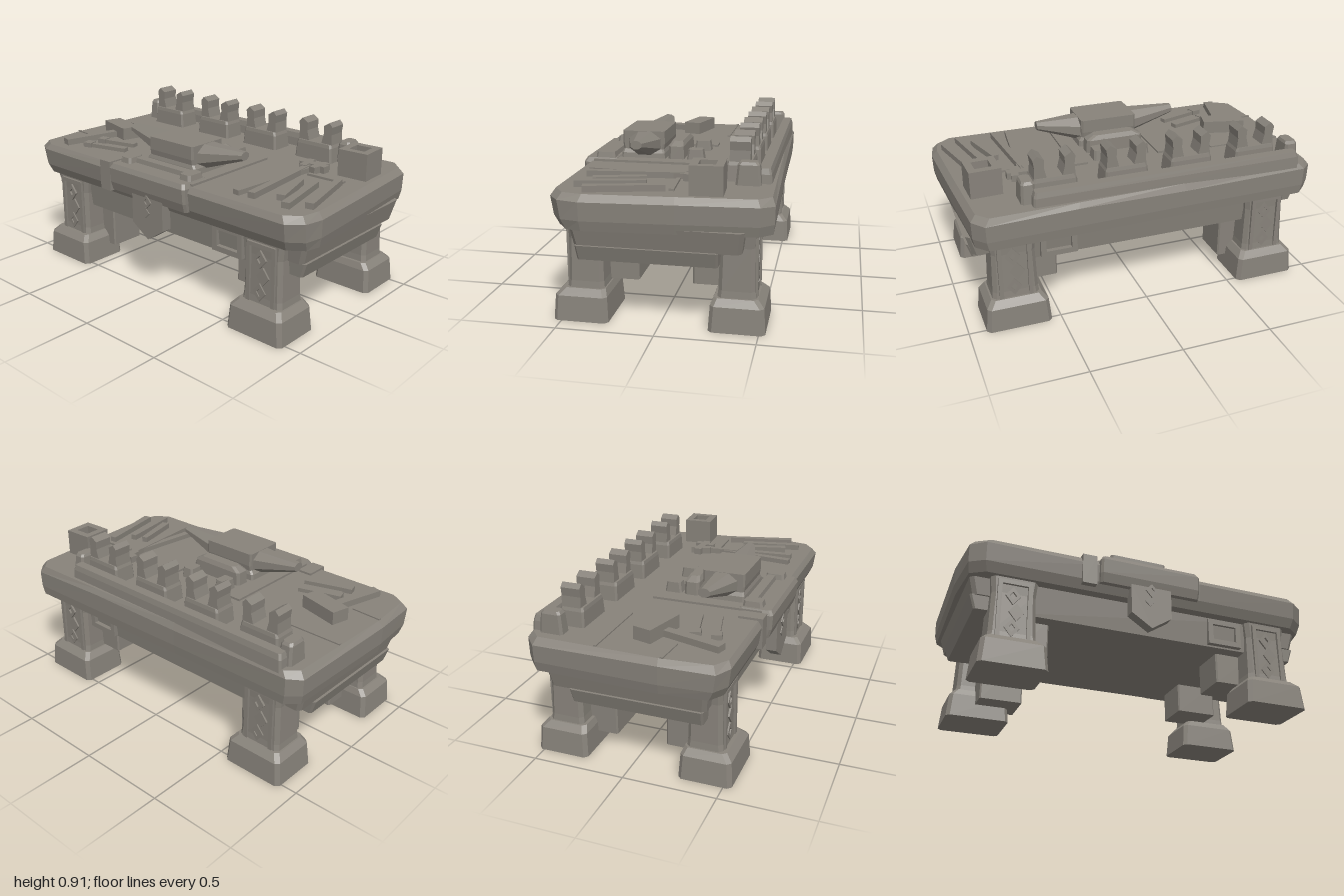
import * as THREE from 'three';

export function createModel() {
  const model = new THREE.Group();
  model.name = 'stoneForgeTable';
  const stone = new THREE.MeshStandardMaterial({ color: 0x87827a });
  stone.name = 'grey stone';

  // Flat-faced mesh from any geometry
  const add = (name, geo, parent = model) => {
    const g = geo.index ? geo.toNonIndexed() : geo;
    g.computeVertexNormals();
    const m = new THREE.Mesh(g, stone);
    m.name = name;
    parent.add(m);
    return m;
  };

  // Closed loft through rings of [x, y, z], listed from bottom to top
  const loft = (rings) => {
    const n = rings[0].length, pos = rings.flat(2), idx = [];
    for (let r = 0; r < rings.length - 1; r++) for (let i = 0; i < n; i++) {
      const a = r * n + i, b = r * n + (i + 1) % n;
      idx.push(a, a + n, b, b, a + n, b + n);
    }
    const centre = (ring) => [0, 1, 2].map((k) => ring.reduce((s, p) => s + p[k], 0) / n);
    const c0 = rings.length * n, top = c0 - n;
    pos.push(...centre(rings[0]), ...centre(rings[rings.length - 1]));
    for (let i = 0; i < n; i++) {
      const j = (i + 1) % n;
      idx.push(c0, i, j, c0 + 1, top + j, top + i);
    }
    const g = new THREE.BufferGeometry();
    g.setAttribute('position', new THREE.Float32BufferAttribute(pos, 3));
    g.setIndex(idx);
    return g;
  };

  // Hewn block: rings of [y, halfX, halfZ, shiftX, shiftZ] with cut corners
  const rock = (name, cx, cz, cut, rows, parent) => add(name, loft(rows.map(([y, a, b, dx = 0, dz = 0]) =>
    [[a, -b + cut], [a, b - cut], [a - cut, b], [-a + cut, b], [-a, b - cut], [-a, -b + cut], [-a + cut, -b], [a - cut, -b]]
      .map(([x, z]) => [cx + dx + x, y, cz + dz + z]))), parent);

  const box = (name, x0, x1, y0, y1, z0, z1, parent) => {
    const m = add(name, new THREE.BoxGeometry(x1 - x0, y1 - y0, z1 - z0), parent);
    m.position.set((x0 + x1) / 2, (y0 + y1) / 2, (z0 + z1) / 2);
    return m;
  };

  // Tapered bar lying on the top from one point to another
  const bar = (name, x0, z0, x1, z1, w, y, h, taper = 1) => {
    const g = new THREE.BoxGeometry(w, h, Math.hypot(x1 - x0, z1 - z0));
    const p = g.attributes.position;
    for (let i = 0; i < p.count; i++) if (p.getZ(i) > 0) p.setX(i, p.getX(i) * taper);
    const m = add(name, g);
    m.position.set((x0 + x1) / 2, y + h / 2, (z0 + z1) / 2);
    m.rotation.y = Math.atan2(x1 - x0, z1 - z0);
    return m;
  };

  const shapeOf = (T, pts) => new T(pts.map(([x, y]) => new THREE.Vector2(x, y)));
  const extrude = (shape, depth) => new THREE.ExtrudeGeometry(shape, { depth, bevelEnabled: false });

  // Square ring with a hole, extruded along z
  const frameGeo = (w, h, rim, depth) => {
    const rect = (T, a, b) => shapeOf(T, [[-a, -b], [a, -b], [a, b], [-a, b]]);
    const s = rect(THREE.Shape, w / 2, h / 2);
    s.holes.push(rect(THREE.Path, w / 2 - rim, h / 2 - rim));
    return extrude(s, depth);
  };
  const diamond = (name, x, y, z, w, h, parent, hollow = true) => {
    const rhomb = (T, k) => shapeOf(T, [[w * k, 0], [0, h * k], [-w * k, 0], [0, -h * k]]);
    const s = rhomb(THREE.Shape, 1);
    if (hollow) s.holes.push(rhomb(THREE.Path, 0.45));
    add(name, extrude(s, 0.012), parent).position.set(x, y, z);
  };

  // Table slab: steep sides, undercut front, worn top edge
  const outline = [[0.94, -0.5], [0.97, -0.1], [1, 0.36], [0.98, 0.47], [0.9, 0.53], [0.3, 0.53], [-0.3, 0.53],
    [-0.9, 0.53], [-0.98, 0.48], [-1, 0.2], [-0.985, -0.47], [-0.92, -0.53], [-0.2, -0.54], [0.4, -0.555], [0.88, -0.565]];
  add('tableTop', loft([[0.508, 0.015, 0.03], [0.56, 0.003, 0.012], [0.655, 0, 0], [0.688, 0.03, 0.005]].map(([y, d, under], r) =>
    outline.map(([x, z], i) => [
      x * (1 - d), r === 2 ? y + 0.01 * Math.sin(i * 3.1) : y, z * (1 - d) - (z > 0.4 ? under : 0)]))));

  // Apron under the slab
  rock('upperApron', 0, 0, 0.02, [[0.415, 0.93, 0.415], [0.53, 0.96, 0.43]]);
  rock('lowerApron', 0, 0, 0.02, [[0.34, 0.74, 0.42], [0.53, 0.74, 0.44]]);
  rock('sideApron', 0, 0.05, 0.01, [[0.34, 0.92, 0.35], [0.418, 0.945, 0.355]]);
  for (const z of [0.4, -0.45]) add('apronFrame', frameGeo(0.2, 0.15, 0.03, 0.05)).position.set(0.48, 0.425, z);

  // Four legs with carved panels and inner braces
  for (const sx of [1, -1]) for (const sz of [1, -1]) {
    const leg = new THREE.Group();
    leg.name = (sz > 0 ? 'front' : 'back') + (sx > 0 ? 'Left' : 'Right') + 'Leg';
    model.add(leg);
    const cx = sx * 0.73, cz = sz > 0 ? 0.4 : -0.39;
    rock('foot', cx, cz, 0.02, [[0, 0.177, 0.142], [0.13, 0.165, 0.134], [0.165, 0.135, 0.11, 0, -sz * 0.01]], leg);
    rock('shaft', cx, sz * 0.383, 0.02, [[0.13, 0.13, 0.1], [0.2, 0.122, 0.092], [0.42, 0.115, 0.086], [0.52, 0.125, 0.09]], leg);
    const panel = new THREE.Group();
    panel.name = 'carvedPanel';
    panel.position.set(cx, 0.315, sz * 0.463);
    panel.rotation.y = sz > 0 ? 0 : Math.PI;
    leg.add(panel);
    add('panelFrame', frameGeo(0.18, 0.35, 0.022, 0.022), panel);
    [0.09, 0, -0.09].forEach((y, i) => diamond('carving', i % 2 ? 0.012 : -0.008, y, 0.006, 0.04, 0.05, panel, i !== 1));
    rock('innerBrace', sx > 0 ? 0.59 : -0.63, sz * 0.245, 0.008, [[sx > 0 ? 0.17 : 0.08, 0.12, 0.105], [0.36, 0.12, 0.105]], leg);
  }

  // Front plate and hanging shield
  rock('frontPlate', -0.005, 0.46, 0.012, [[0.55, 0.285, 0.08], [0.6, 0.288, 0.095], [0.68, 0.288, 0.1], [0.705, 0.275, 0.085]]);
  box('frontPlateSide', -0.39, -0.31, 0.53, 0.7, 0.4, 0.535);
  const shield = shapeOf(THREE.Shape, [[-0.12, 0.57], [-0.12, 0.4], [-0.005, 0.325], [0.11, 0.4], [0.11, 0.57]]);
  add('hangingShield', extrude(shield, 0.06)).position.z = 0.485;
  diamond('shieldCarving', -0.005, 0.545, 0.54, 0.035, 0.04);
  diamond('shieldCarving', -0.015, 0.48, 0.538, 0.03, 0.03, model, false);

  // Anvil bed and clamps
  for (const s of [1, -1]) {
    box('bedRail', s * 0.25 - 0.04, s * 0.25 + 0.04, 0.66, 0.7, -0.12, 0.5);
    rock('frontClamp', s * 0.225, 0.44, 0.012, [[0.68, 0.045, 0.06], [0.735, 0.035, 0.05]]);
    rock('rearClamp', s * 0.125, -0.05, 0.01, [[0.68, 0.04, 0.05], [0.745, 0.034, 0.04]]);
  }
  rock('frontClampBar', 0, 0.42, 0.01, [[0.68, 0.2, 0.035], [0.73, 0.19, 0.025]]);
  rock('rearClampBlock', 0, 0.06, 0.015, [[0.68, 0.17, 0.045], [0.76, 0.165, 0.042], [0.785, 0.12, 0.03]]);

  // Anvil with flat-topped tapering horns
  rock('anvilBody', 0, 0.245, 0.01, [[0.68, 0.185, 0.125], [0.72, 0.18, 0.122], [0.74, 0.165, 0.115], [0.77, 0.165, 0.12], [0.842, 0.165, 0.12]]);
  const horn = (name, x0, x1, tipY, tipR) => {
    const g = new THREE.CylinderGeometry(0.076, 0.076, 1, 8, 1, false, Math.PI / 8);
    const p = g.attributes.position, s = Math.sign(x1 - x0);
    for (let i = 0; i < p.count; i++) {
      const end = p.getY(i) * s > 0, k = end ? tipR : 1;
      p.setXYZ(i, end ? x1 : x0, (end ? tipY : 0.77) - p.getX(i) * k, (end ? 0.225 : 0.238) + p.getZ(i) * k * 1.35);
    }
    add(name, g);
  };
  horn('anvilHorn', 0.15, 0.41, 0.812, 0.32);
  horn('anvilHeel', -0.13, -0.425, 0.815, 0.35);

  // Back rail, end posts and tool racks with paired fangs
  rock('backRail', -0.13, -0.487, 0.01, [[0.67, 0.755, 0.038], [0.735, 0.75, 0.034], [0.765, 0.74, 0.026]]);
  for (const x of [-0.865, 0.635])
    rock('endPost', x, -0.41, 0.012, [[0.68, 0.04, 0.065], [0.79, 0.035, 0.055], [0.805, 0.028, 0.045]]);
  const fang = (s) => shapeOf(THREE.Shape, [[-0.035, 0], [0.035, 0], [0.03, 0.06], [0.036, 0.105], [0.014, 0.128], [-0.022, 0.105], [-0.02, 0.06]]
    .map(([x, y]) => [x * s, y]));
  [-0.665, -0.28, 0.09, 0.48].forEach((x) => {
    rock('rackBlock', x, -0.355, 0.01, [[0.68, 0.125, 0.07], [0.77, 0.117, 0.066], [0.79, 0.11, 0.062]]);
    for (const s of [1, -1]) add('rackFang', extrude(fang(s), 0.105)).position.set(x + s * 0.076, 0.785, -0.41);
  });

  // Square cup
  const cup = new THREE.Group();
  cup.name = 'squareCup';
  cup.position.set(0.82, 0.68, -0.235);
  cup.rotation.y = 0.05;
  model.add(cup);
  add('cupWall', frameGeo(0.17, 0.165, 0.04, 0.155), cup).rotation.x = -Math.PI / 2;
  box('cupFloor', -0.05, 0.05, 0, 0.1, -0.05, 0.05, cup);

  // Hammer and chisels
  bar('hammerHead', -0.83, 0.05, -0.595, 0.11, 0.105, 0.685, 0.075);
  bar('hammerHandle', -0.71, 0.1, -0.8, 0.45, 0.045, 0.688, 0.035, 1.3);
  [[-0.69, 0.275, -0.45, 0.21], [-0.69, 0.385, -0.42, 0.31]].forEach(([a, b, c, d]) => {
    bar('chiselBlade', a, b, c, d, 0.03, 0.685, 0.025, 1.4);
    bar('chiselButt', a, b, a + 0.05, b - 0.013, 0.055, 0.685, 0.03);
  });

  // Tongs
  bar('tongArm', 0.59, -0.12, 0.53, 0.44, 0.03, 0.685, 0.03, 1.4);
  bar('tongArm', 0.57, -0.12, 0.62, 0.43, 0.03, 0.685, 0.035, 1.4);
  bar('tongHead', 0.505, -0.15, 0.675, -0.14, 0.045, 0.685, 0.04);
  bar('tongJaw', 0.54, -0.2, 0.56, -0.08, 0.04, 0.685, 0.04);
  bar('tongJaw', 0.64, -0.2, 0.62, -0.08, 0.04, 0.685, 0.04);

  // Loose metal rods
  [[0.62, -0.05, 0.84, -0.06], [0.68, 0.1, 0.75, 0.36], [0.76, 0.08, 0.83, 0.43], [0.83, -0.03, 0.92, 0.36]]
    .forEach(([a, b, c, d], i) => bar('metalRod', a, b, c, d, i ? 0.035 : 0.02, 0.685, i ? 0.035 : 0.015, 1.3));

  // Raised seams in the slab
  bar('stoneSeam', -0.96, -0.14, -0.53, -0.14, 0.015, 0.685, 0.01);
  bar('stoneSeam', -0.97, 0.21, -0.8, 0.22, 0.015, 0.685, 0.01);
  return model;
}
